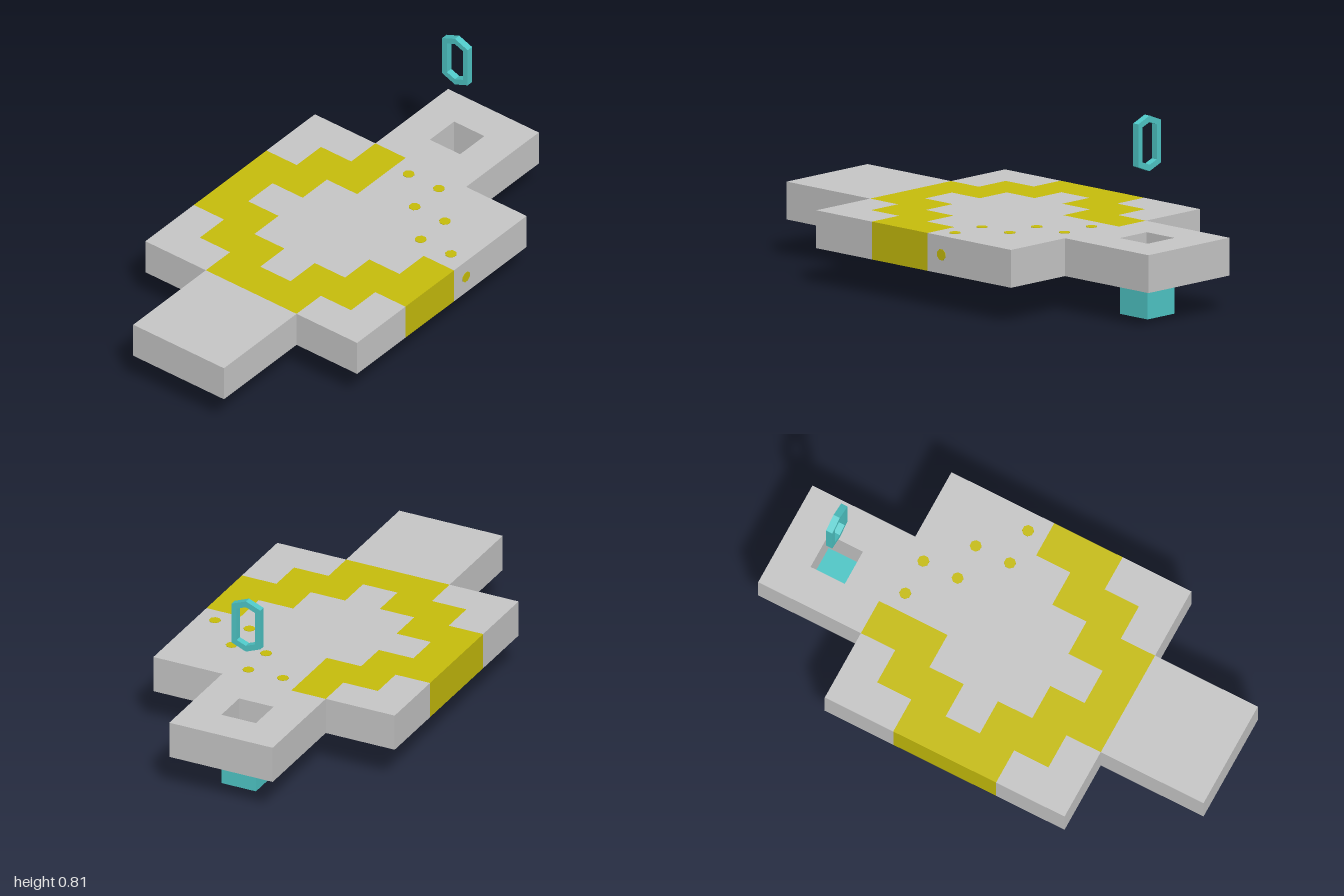
import * as THREE from 'three';
import { mergeGeometries } from 'three/addons/utils/BufferGeometryUtils.js';

const U = 2 / 13; // one grid cell
const SLAB_Y = 1.5 * U;

// Plan of the slab, back row first: g grey, y yellow, d grey with a dot, o hole
const PLAN = [
  '  ggg  ',
  '  gog  ',
  '  ggg  ',
  'ggyddgg',
  'gyygddg',
  'yygggdd',
  'ygggggy',
  'yygggyy',
  'gyygyyg',
  'ggyyygg',
  '  ggg  ',
  '  ggg  ',
  '  ggg  ',
];

const cellX = (c) => (c - 3) * U;
const cellZ = (r) => (r - 6) * U;

// Merge each horizontal run of matching cells into one box
function slabGeometry(kinds) {
  const boxes = [];
  PLAN.forEach((row, r) => {
    for (let c = 0; c < 7; c++) {
      if (!kinds.includes(row[c])) continue;
      const start = c;
      while (c + 1 < 7 && kinds.includes(row[c + 1])) c++;
      const box = new THREE.BoxGeometry((c - start + 1) * U, U, U);
      boxes.push(box.translate(cellX((start + c) / 2), SLAB_Y, cellZ(r)));
    }
  });
  return mergeGeometries(boxes);
}

export function createModel() {
  const model = new THREE.Group();
  model.name = 'steppedSlab';
  const grey = new THREE.MeshStandardMaterial({ color: 0xc8c8c8 });
  const yellow = new THREE.MeshStandardMaterial({ color: 0xc8be0c });
  const teal = new THREE.MeshStandardMaterial({ color: 0x4fc8c8 });
  grey.name = 'grey';
  yellow.name = 'yellow';
  teal.name = 'teal';

  const add = (name, geometry, material, parent = model) => {
    const mesh = new THREE.Mesh(geometry, material);
    mesh.name = name;
    parent.add(mesh);
    return mesh;
  };

  // Slab and its stepped yellow band
  add('slab', slabGeometry('gd'), grey);
  add('steppedBand', slabGeometry('y'), yellow);

  // Small dots on the top and underside, continuing the band
  const dots = new THREE.Group();
  dots.name = 'dots';
  model.add(dots);
  const dot = new THREE.CylinderGeometry(0.024, 0.024, 0.004, 8);
  dot.rotateY(Math.PI / 8);
  PLAN.forEach((row, r) => [...row].forEach((kind, c) => {
    if (kind !== 'd') return;
    for (const y of [U, 2 * U]) {
      add('dot', dot, yellow, dots).position.set(cellX(c), y, cellZ(r));
    }
  }));
  const sideDot = add('sideDot', dot, yellow, dots);
  sideDot.rotation.z = Math.PI / 2;
  sideDot.position.set(3.5 * U, SLAB_Y, cellZ(5));

  // Cube below the square hole
  add('cube', new THREE.BoxGeometry(U, U, U), teal).position.set(0, U / 2, cellZ(1));

  // Plain hexagonal marker floating above the hole
  const hexagon = (w, shoulder, tip) => [
    [0, tip], [-w, shoulder], [-w, -shoulder], [0, -tip], [w, -shoulder], [w, shoulder],
  ].map(([x, y]) => new THREE.Vector2(x, y));
  const ring = new THREE.Shape(hexagon(0.065, 0.087, 0.113));
  ring.holes.push(new THREE.Path(hexagon(0.041, 0.071, 0.087)));
  const marker = new THREE.ExtrudeGeometry(ring, { depth: 0.028, bevelEnabled: false });
  marker.translate(0, 0, -0.014);
  add('floatingMarker', marker, teal).position.set(0, 0.694, cellZ(1));

  return model;
}
